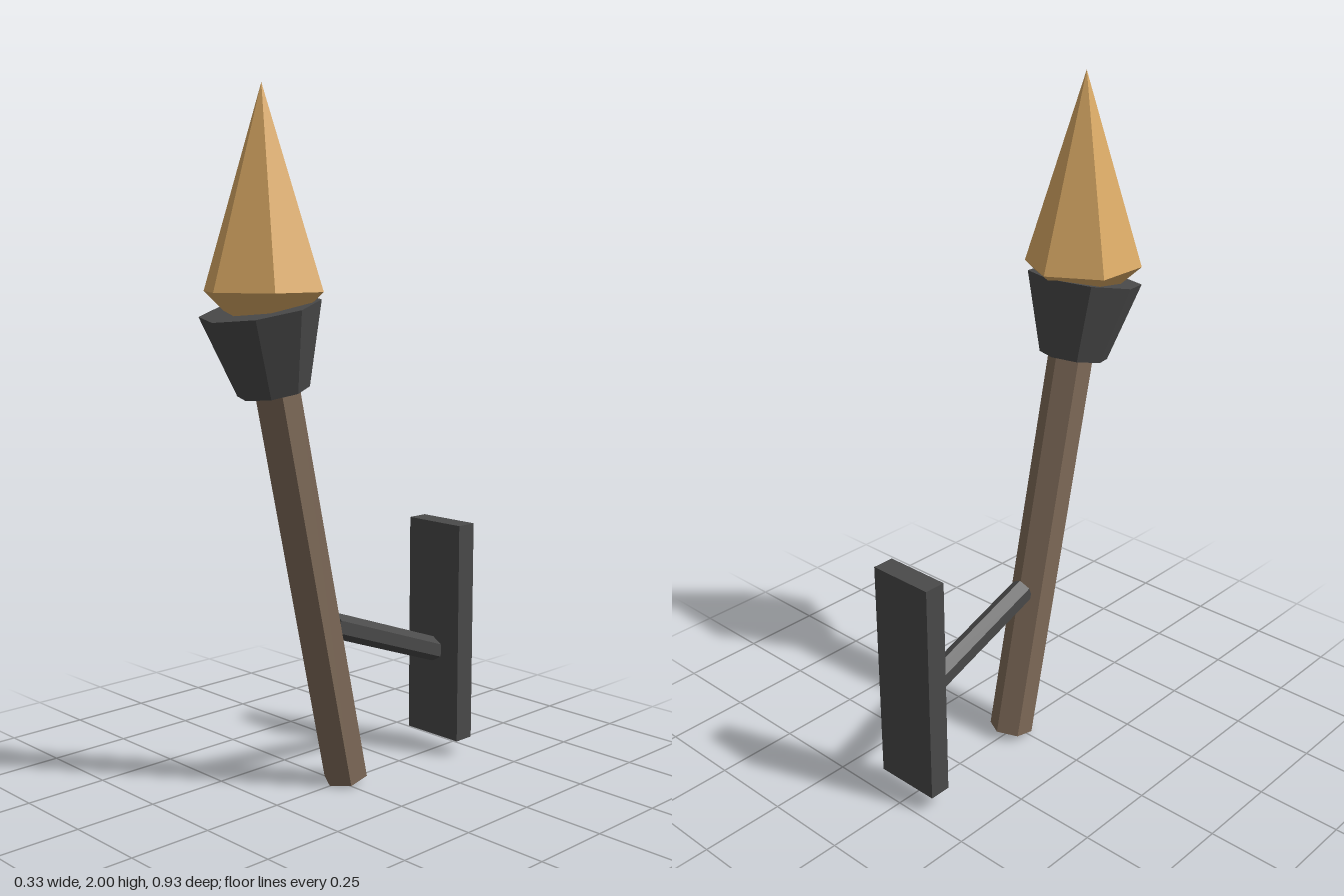
import * as THREE from 'three';

const material = (name, color) => {
  const m = new THREE.MeshStandardMaterial({ color, flatShading: true });
  m.name = name;
  return m;
};

export function createModel() {
  const wood = material('wood', 0x7e6a58);
  const iron = material('iron', 0x4a4a4a);
  const flameGold = material('flame gold', 0xdcab66);
  const torch = new THREE.Group();
  torch.name = 'wallTorch';

  // Faceted bar between two [y, z] points in the x = 0 plane
  const bar = (name, mat, [y0, z0], [y1, z1], r0, r1, sides) => {
    const length = Math.hypot(y1 - y0, z1 - z0);
    const mesh = new THREE.Mesh(new THREE.CylinderGeometry(r1, r0, length, sides), mat);
    mesh.name = name;
    mesh.position.set(0, (y0 + y1) / 2, (z0 + z1) / 2);
    mesh.rotation.x = Math.atan2(z1 - z0, y1 - y0);
    torch.add(mesh);
  };

  // Leaning handle, its top sunk into the cup
  bar('handle', wood, [0.019, -0.021], [1.29, 0.262], 0.066, 0.066, 6);
  // Flared cup
  bar('cup', iron, [1.185, 0.252], [1.411, 0.298], 0.1, 0.167, 8);
  // Sloping arm that holds the handle to the wall plate
  bar('arm', iron, [0.49, 0.033], [0.328, -0.41], 0.037, 0.037, 6);

  // Upright flame with a tapered underside sunk into the cup
  bar('flameTip', flameGold, [1.455, 0.287], [2, 0.287], 0.17, 0, 6);
  bar('flameBase', flameGold, [1.345, 0.287], [1.455, 0.287], 0.05, 0.17, 6);

  // Flat wall plate
  const plate = new THREE.Mesh(new THREE.BoxGeometry(0.204, 0.68, 0.066), iron);
  plate.name = 'wallPlate';
  plate.position.set(0, 0.395, -0.434);
  torch.add(plate);

  return torch;
}
